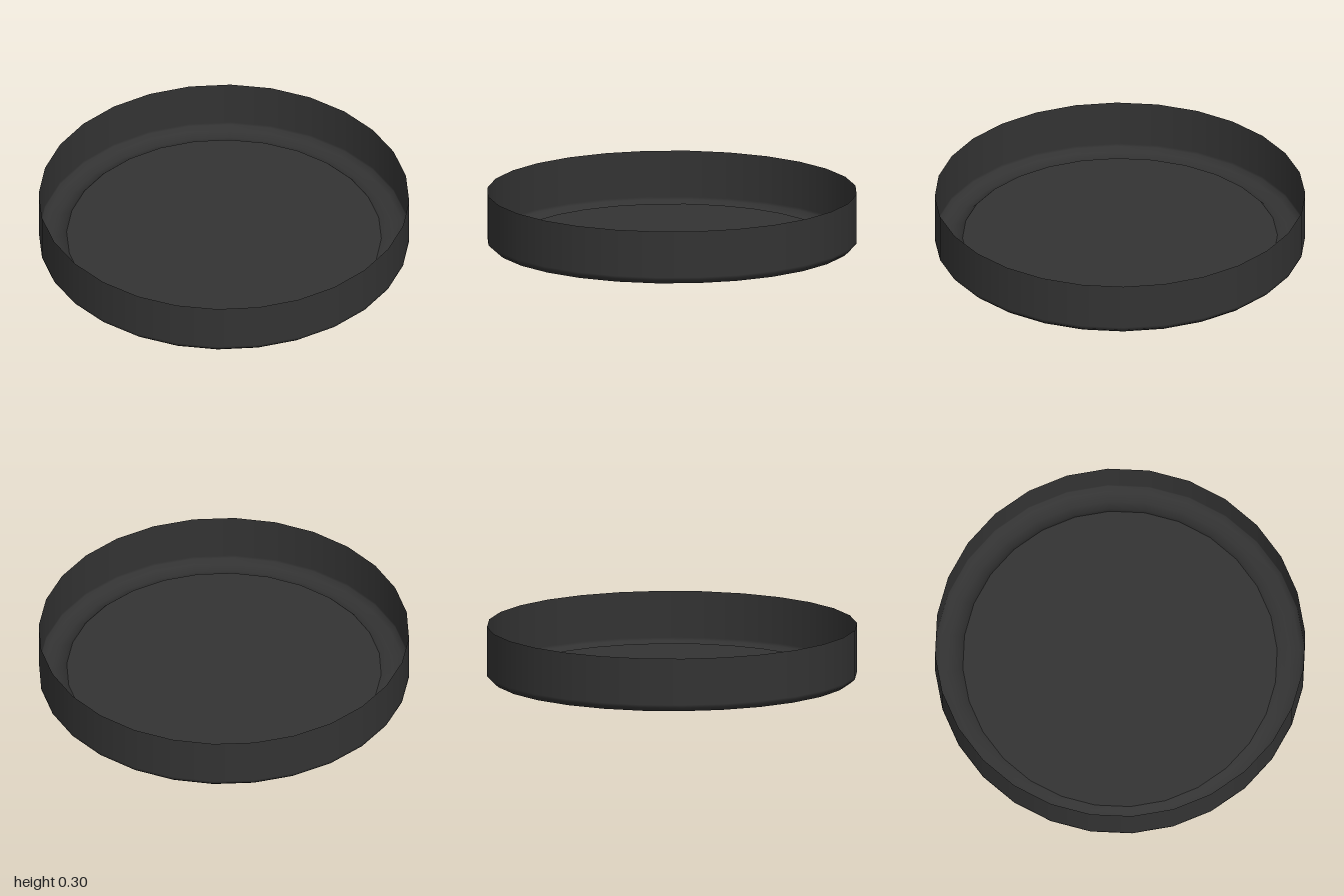
import * as THREE from 'three';

const SIDES = 28;

export function createModel() {
  const group = new THREE.Group();
  group.name = 'shallowDish';
  const material = new THREE.MeshStandardMaterial({ color: 0x333333, side: THREE.DoubleSide });

  // Thin wall curling under into a low foot ring, then up to the raised floor
  const profile = [
    [0.85, 0.04], [0.875, 0.015], [0.92, 0], [0.975, 0.008],
    [1, 0.03], [1, 0.045], [1, 0.3],
  ].map(([r, y]) => new THREE.Vector2(r, y));
  const wall = new THREE.Mesh(new THREE.LatheGeometry(profile, SIDES), material);
  wall.name = 'wallAndFootRing';
  group.add(wall);

  // Flat floor with a crisp edge where it meets the ring
  const floor = new THREE.Mesh(new THREE.CircleGeometry(0.85, SIDES).rotateX(-Math.PI / 2), material);
  floor.name = 'floor';
  floor.position.y = 0.04;
  group.add(floor);

  return group;
}
